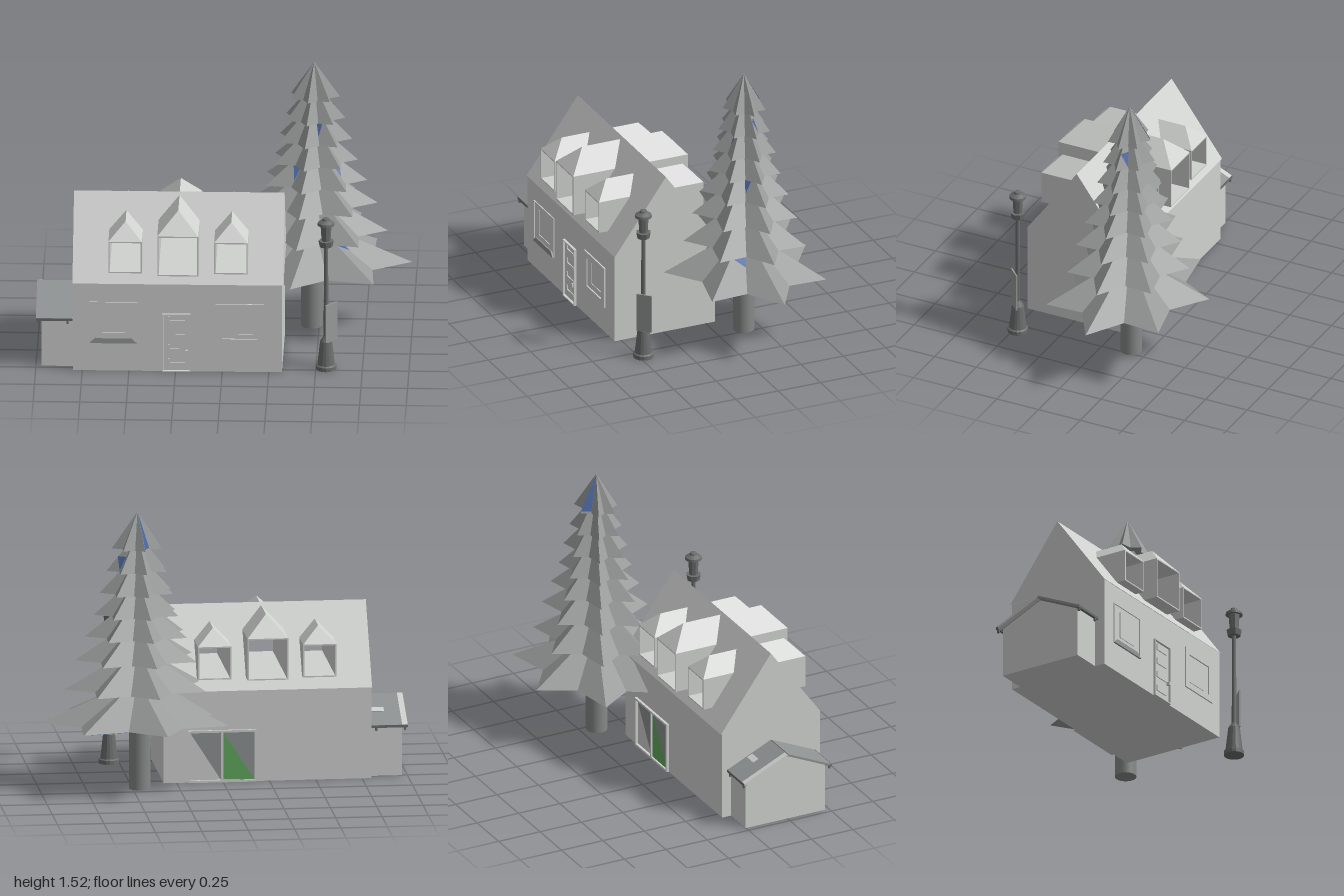
import * as THREE from 'three';
import { ConvexGeometry } from 'three/addons/geometries/ConvexGeometry.js';

const mat = (name, color, opts = {}) => {
  const m = new THREE.MeshStandardMaterial({ color, flatShading: true, ...opts });
  m.name = name;
  return m;
};

export function createModel() {
  const root = new THREE.Group();
  root.name = 'cottageScene';
  const house = mat('pale grey', 0xd0d2d0);
  const shedRoof = mat('slate grey', 0x909393);
  const foliage = mat('foliage grey', 0x999b9b);
  const bark = mat('bark grey', 0x878989, { flatShading: false });
  const iron = mat('iron grey', 0x6c6e6e);
  const blue = mat('blue', 0x4a66a0, { side: THREE.DoubleSide });
  const green = mat('green', 0x62a85e);

  const add = (name, geo, m, x = 0, y = 0, z = 0, parent = root) => {
    const mesh = new THREE.Mesh(geo, m);
    mesh.name = name;
    mesh.position.set(x, y, z);
    parent.add(mesh);
    return mesh;
  };
  // box given by its limits
  const block = (name, m, x0, x1, y0, y1, z0, z1) =>
    add(name, new THREE.BoxGeometry(x1 - x0, y1 - y0, z1 - z0), m, (x0 + x1) / 2, (y0 + y1) / 2, (z0 + z1) / 2);
  const rect = (C, x0, x1, y0, y1) => new C([[x0, y0], [x1, y0], [x1, y1], [x0, y1]].map(p => new THREE.Vector2(...p)));
  // rectangular frame with an opening, running along z
  const frame = (name, m, x0, x1, y0, y1, z0, z1, t) => {
    const s = rect(THREE.Shape, x0, x1, y0, y1);
    s.holes.push(rect(THREE.Path, x0 + t, x1 - t, y0 + t, y1 - t));
    add(name, new THREE.ExtrudeGeometry(s, { depth: z1 - z0, bevelEnabled: false }), m, 0, 0, z0);
  };

  // House walls
  const X0 = -0.803, X1 = 0.326, ZM = 0.237, HALF = 0.302, EAVE = 0.5, RIDGE = 0.917;
  block('houseWalls', house, -0.8, 0.32, 0, EAVE, -0.056, 0.536);

  // Dormers: x limits, opening y limits, apex, half depth, ridge half length
  const dormers = [
    [-0.61, -0.43, 0.565, 0.745, 0.832, 0.308, 0.225],
    [-0.347, -0.127, 0.562, 0.79, 0.902, 0.338, 0.235],
    [-0.043, 0.137, 0.565, 0.745, 0.832, 0.308, 0.225],
  ];

  // Main roof slopes, cut open where the dormers pass through
  const rise = RIDGE - EAVE, len = Math.hypot(HALF, rise);
  for (const side of [1, -1]) {
    const span = (C, a, b, y0, y1) =>
      rect(C, Math.min(a * side, b * side), Math.max(a * side, b * side), (y0 - EAVE) / rise * len, (y1 - EAVE) / rise * len);
    const s = span(THREE.Shape, X0, X1, EAVE, RIDGE);
    for (const [a, b, y0, y1] of dormers) s.holes.push(span(THREE.Path, a, b, y0, y1));
    const g = new THREE.ShapeGeometry(s);
    g.rotateX(-Math.atan2(HALF, rise)).translate(0, EAVE, HALF);
    if (side < 0) g.rotateY(Math.PI);
    add(side > 0 ? 'frontRoof' : 'backRoof', g, house, 0, 0, ZM);
  }
  // Gable ends
  for (const side of [1, -1]) {
    const s = new THREE.Shape([[-HALF, EAVE], [HALF, EAVE], [0, RIDGE]].map(p => new THREE.Vector2(...p)));
    add('gableEnd', new THREE.ShapeGeometry(s).rotateY(side * Math.PI / 2), house, side > 0 ? X1 : X0, 0, ZM);
  }
  // Dormer boxes and hipped caps
  for (const [a, b, y0, y1, top, d, r] of dormers) {
    frame('dormerBox', house, a, b, y0, y1, ZM - d, ZM + d, 0.007);
    const pts = [];
    for (const s of [1, -1]) {
      pts.push(new THREE.Vector3(a, y1, ZM + s * d), new THREE.Vector3(b, y1, ZM + s * d));
      pts.push(new THREE.Vector3((a + b) / 2, top, ZM + s * r));
    }
    add('dormerRoof', new ConvexGeometry(pts), house);
  }

  // Front windows: a shallow one with a sloping sill, and a raised one
  frame('leftWindowFrame', house, -0.71, -0.455, 0.16, 0.395, 0.53, 0.542, 0.005);
  frame('rightWindowFrame', house, -0.035, 0.225, 0.16, 0.395, 0.548, 0.556, 0.035);
  for (const [a, b] of [[-0.71, -0.455], [-0.035, 0.225]]) {
    block('windowMullion', house, a + 0.06, a + 0.066, 0.215, 0.36, 0.53, 0.54);
    block('windowRail', house, a + 0.06, b - 0.06, 0.212, 0.218, 0.53, 0.54);
  }
  const sill = [];
  for (const [y, z, inset] of [[0.16, 0.546, 0], [0.16, 0.53, 0], [0.188, 0.53, 0.03], [0.188, 0.544, 0.03]])
    for (const x of [-0.71 + inset, -0.455 - inset]) sill.push(new THREE.Vector3(x, y, z));
  add('windowSill', new ConvexGeometry(sill), shedRoof);

  // Front door with raised panels
  frame('doorFrame', house, -0.322, -0.17, 0, 0.332, 0.53, 0.55, 0.006);
  for (const y of [0.04, 0.12, 0.2, 0.28]) {
    block('doorRail', house, -0.29, -0.2, y, y + 0.012, 0.53, 0.542);
    block('doorStile', house, -0.29, -0.28, y, y + 0.035, 0.53, 0.542);
  }
  block('doorHandle', house, -0.195, -0.185, 0.105, 0.125, 0.53, 0.556);

  // Back sliding door
  frame('backDoorFrame', house, 0.0, 0.19, 0, 0.285, -0.07, -0.05, 0.012);
  frame('backDoorFrame', house, -0.18, 0.012, 0, 0.285, -0.07, -0.05, 0.012);
  const halfPane = (name, m, pts) => {
    const s = new THREE.Shape(pts.map(p => new THREE.Vector2(...p)));
    add(name, new THREE.ShapeGeometry(s).rotateY(Math.PI), m, 0, 0, -0.06);
  };
  halfPane('greyPane', shedRoof, [[-0.178, 0.273], [-0.012, 0.273], [-0.012, 0.012]]);
  halfPane('greyPane', shedRoof, [[0.0, 0.273], [0.168, 0.273], [0.168, 0.012]]);
  halfPane('greenPane', green, [[0.0, 0.273], [0.0, 0.012], [0.168, 0.012]]);

  // Side shed: pentagon body and pitched roof boards
  const body = new THREE.Shape([[-0.24, 0], [0.24, 0], [0.24, 0.275], [0, 0.385], [-0.24, 0.275]].map(p => new THREE.Vector2(...p)));
  add('shedBody', new THREE.ExtrudeGeometry(body, { depth: 0.17, bevelEnabled: false }).rotateY(Math.PI / 2), house, -0.97, 0, ZM);
  const pitch = Math.atan2(0.12, 0.262);
  const board = (name, m, x0, x1, side) => {
    const b = add(name, new THREE.BoxGeometry(x1 - x0, 0.012, 0.288), m, (x0 + x1) / 2, 0.335, ZM + side * 0.131);
    b.rotation.x = side * pitch;
    return b;
  };
  board('shedFrontRoof', shedRoof, -1, -0.803, 1);
  const back = board('shedBackRoof', shedRoof, -0.97, -0.803, -1);
  add('roofPatch', new THREE.BoxGeometry(0.07, 0.004, 0.035), house, 0.037, 0.007, 0.0, back);
  board('shedVerge', house, -1, -0.97, -1);
  for (const side of [1, -1]) {
    const z = ZM + side * 0.258;
    block('shedGutter', iron, -1, -0.803, 0.268, 0.282, z - 0.007, z + 0.007);
    for (const x of [-0.985, -0.83]) block('gutterBracket', iron, x - 0.005, x + 0.005, 0.252, 0.27, z - 0.006, z + 0.006);
  }

  // Fir tree: stacked seven-pointed skirts [hem y, apex y, tip radius]
  const tree = new THREE.Group();
  tree.name = 'tree';
  tree.position.set(0.473, 0, -0.155);
  root.add(tree);
  add('trunk', new THREE.CylinderGeometry(0.058, 0.058, 0.5, 24), bark, -0.012, 0.25, -0.004, tree);
  const tiers = [[0.37, 0.6, 0.525], [0.55, 0.78, 0.395], [0.71, 0.93, 0.34], [0.84, 1.06, 0.285],
    [0.957, 1.17, 0.235], [1.077, 1.29, 0.205], [1.197, 1.4, 0.167], [1.32, 1.518, 0.138]];
  // rim point i of 14, tips on even numbers, the first towards +x
  const rim = (r, i) => {
    const k = i % 2 ? 0.67 * r : r, a = i * Math.PI / 7;
    return [k * Math.cos(a), 0.82 * k * Math.sin(a)];
  };
  for (const [hem, apex, r] of tiers) {
    const g = new THREE.ConeGeometry(r, apex - hem, 14);
    const p = g.attributes.position;
    for (let i = 0; i < p.count; i++) {
      const x = p.getX(i), z = p.getZ(i);
      if (Math.hypot(x, z) < r * 0.5) continue;
      const step = Math.round(Math.atan2(x, z) * 7 / Math.PI);
      const [nx, nz] = rim(r, 14 - step);
      p.setXYZ(i, nx, p.getY(i), nz);
    }
    g.computeVertexNormals();
    add('branches', g, foliage, 0, (hem + apex) / 2, 0, tree);
  }
  // Small blue facets: tier, then three corners as [rim point, share of the slope]
  const facets = [
    [7, [9, 0.03], [9, 0.96], [10, 0.96]],
    [6, [13, 0.62], [13, 0.98], [0, 0.62]],
    [5, [3, 0.4], [3, 0.8], [2, 0.4]],
    [3, [5, 0.44], [5, 0.86], [6, 0.42]],
    [3, [1, 0.42], [1, 0.84], [0, 0.44]],
    [0, [1, 0.4], [1, 0.6], [2, 0.4]],
  ];
  const facet = pts => {
    const g = new THREE.BufferGeometry().setFromPoints(pts);
    g.computeVertexNormals();
    add('blueFacet', g, blue, 0, 0, 0, tree);
  };
  for (const [t, ...corners] of facets) {
    const [hem, apex, r] = tiers[t];
    facet(corners.map(([i, k]) => {
      const [x, z] = rim(r * k * 1.02, i);
      return new THREE.Vector3(x, apex + (hem - apex) * k + 0.002, z);
    }));
  }
  // one more beneath the lowest skirt
  facet([[12, 0.97], [11, 0.98], [11, 0.75]].map(([i, k]) => {
    const [x, z] = rim(tiers[0][2] * k, i);
    return new THREE.Vector3(x, tiers[0][0] - 0.003, z);
  }));

  // Street lamp
  const lamp = new THREE.Group();
  lamp.name = 'streetLamp';
  lamp.position.set(0.555, 0, 0.475);
  root.add(lamp);
  const turned = (name, pts, n) => add(name, new THREE.LatheGeometry(pts.map(p => new THREE.Vector2(...p)), n), iron, 0, 0, 0, lamp);
  turned('lampPost', [[0, 0], [0.055, 0], [0.055, 0.022], [0.047, 0.028], [0.032, 0.16], [0.013, 0.19], [0.011, 0.71]], 16);
  turned('lantern', [[0, 0.705], [0.035, 0.705], [0.041, 0.738], [0.024, 0.738], [0.03, 0.83]], 8);
  turned('lanternCap', [[0.03, 0.828], [0.046, 0.828], [0.044, 0.842], [0.022, 0.855], [0.018, 0.866], [0, 0.87]], 16);
  // Notice board on the post
  const notice = add('noticeBoard', new THREE.BoxGeometry(0.085, 0.215, 0.008), foliage, 0.028, 0.27, 0.008, lamp);
  notice.rotation.y = Math.PI / 4;

  return root;
}
